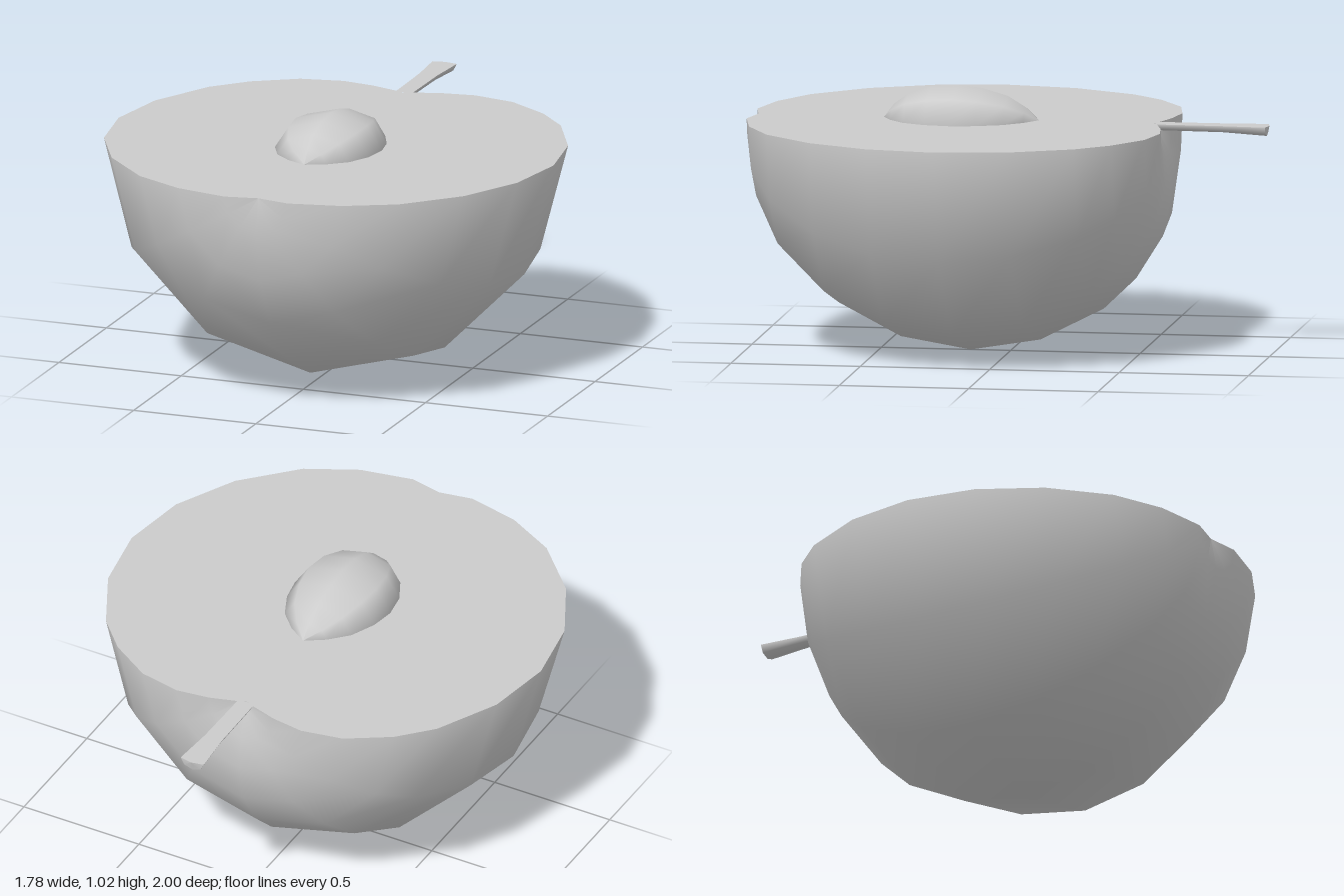
import * as THREE from 'three';

const CUT_Y = 0.89; // height of the cut face

export function createModel() {
  const group = new THREE.Group();
  const material = new THREE.MeshStandardMaterial({ color: 0xcccccc });

  const add = (name, geometry, y = CUT_Y) => {
    const mesh = new THREE.Mesh(geometry, material);
    mesh.name = name;
    mesh.position.y = y;
    group.add(mesh);
  };
  const vectors = (profile) => profile.map(([r, z]) => new THREE.Vector2(r, z));

  // Half turn around the z axis, bulging downwards; profile is [radius, z], back to front
  const halfTurn = (profile, segments) =>
    new THREE.LatheGeometry(vectors(profile), segments, -Math.PI / 2, Math.PI).rotateX(Math.PI / 2);

  // Flat, upward face bounded by a profile and its mirror image
  const cutFace = (profile) => {
    const right = profile.map(([r, z]) => new THREE.Vector2(r, -z));
    const left = profile.filter(([r]) => r > 0).map(([r, z]) => new THREE.Vector2(-r, -z)).reverse();
    return new THREE.ShapeGeometry(new THREE.Shape([...right, ...left])).rotateX(-Math.PI / 2);
  };

  // Fruit half, dimpled at both ends
  const fruit = [
    [0, -0.555], [0.035, -0.57], [0.14, -0.602], [0.27, -0.62], [0.435, -0.588],
    [0.6, -0.485], [0.72, -0.36], [0.845, -0.115], [0.89, 0.155], [0.845, 0.425],
    [0.72, 0.665], [0.53, 0.858], [0.335, 0.957], [0.13, 1], [0, 0.975],
  ];
  add('fruitSkin', halfTurn(fruit, 6));
  add('fruitCutFace', cutFace(fruit));

  // Stone rising from the cut face, pointed towards the stem
  const stone = [
    [0, -0.11], [0.077, -0.06], [0.145, 0.01], [0.19, 0.11], [0.207, 0.205],
    [0.192, 0.305], [0.147, 0.395], [0.08, 0.452], [0, 0.49],
  ];
  add('stone', halfTurn(stone, 4).rotateZ(Math.PI).scale(1, 0.63, 1));

  // Halved stem, flaring at the tip
  const stem = [[0.05, -0.99], [0.037, -0.82], [0.034, -0.56]];
  add('stem', halfTurn(stem, 4).scale(1, 0.78, 1));
  add('stemTip', halfTurn([[0, -1], [0.05, -0.99]], 4).scale(1, 0.78, 1));
  add('stemCutFace', cutFace([[0, -1], ...stem]));

  return group;
}
